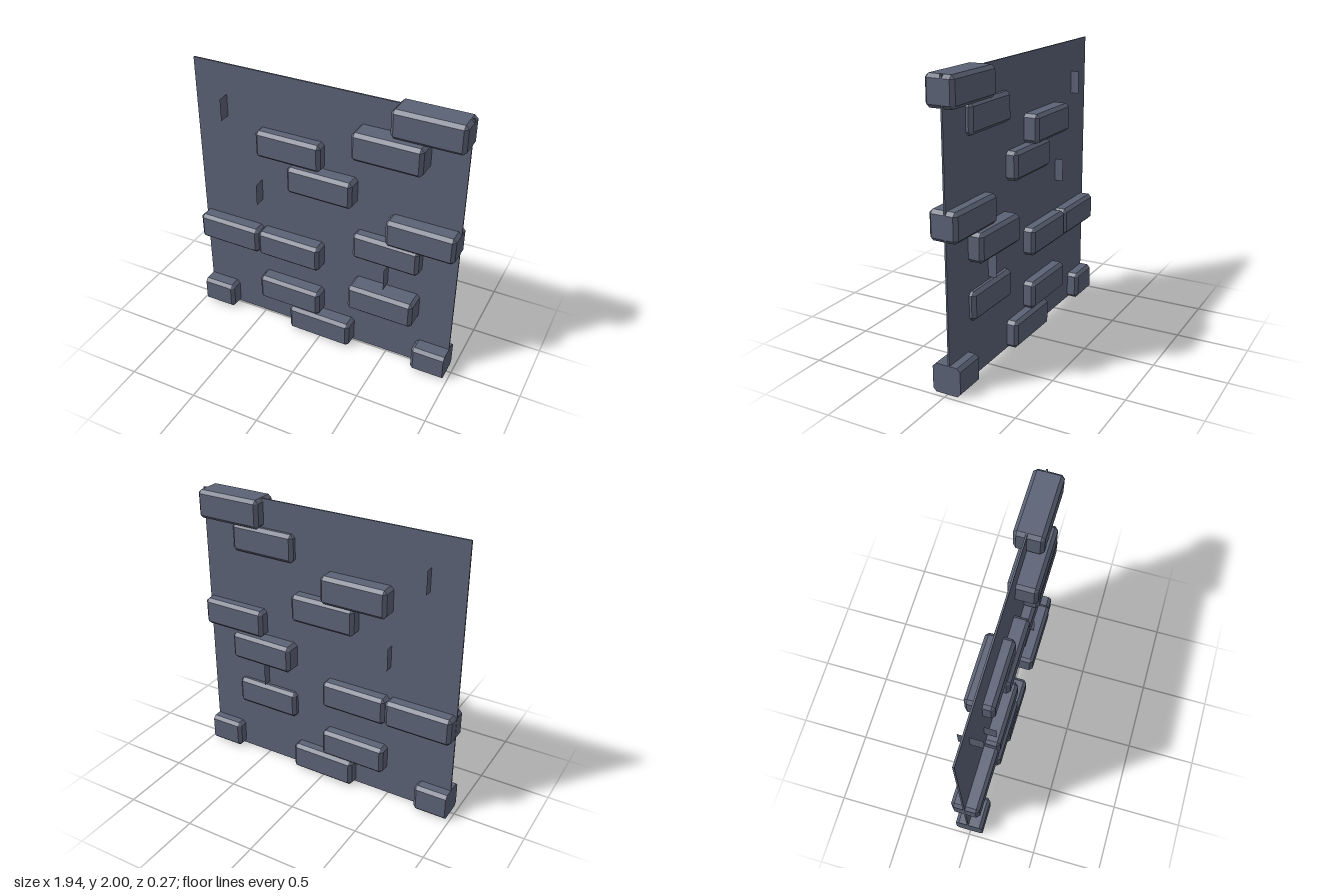
import * as THREE from 'three';
import { ConvexGeometry } from 'three/addons/geometries/ConvexGeometry.js';

const ROW = 0.2, DEPTH = 0.2, CHAMFER = 0.023;

// Box with chamfered edges; an end listed as cut (-1 left, 1 right) stays square
function brickGeometry(width, cutEnd) {
  const w = width / 2, h = 0.099, d = DEPTH / 2, c = CHAMFER;
  const points = [];
  for (const sx of [-1, 1]) for (const sy of [-1, 1]) for (const sz of [-1, 1]) {
    const add = (x, y, z) => points.push(new THREE.Vector3(sx * x, sy * y, sz * z));
    const cx = sx === cutEnd ? 0 : c;
    add(w - cx, h - c, d);
    add(w - cx, h, d - c);
    if (cx) add(w, h - c, d - c);
  }
  return new ConvexGeometry(points);
}

export function createModel() {
  const group = new THREE.Group();
  const material = new THREE.MeshStandardMaterial({ color: 0x5b6275, flatShading: true });
  const finMaterial = material.clone();
  finMaterial.side = THREE.DoubleSide;

  // Thin mortar sheet
  const wall = new THREE.Mesh(new THREE.BoxGeometry(1.935, 2, 0.012), material);
  wall.name = 'mortarSheet';
  wall.position.set(-0.002, 1, -0.015);
  group.add(wall);

  // Bricks: row, left x, right x, centre z, yaw, cut end
  const bricks = [
    [0, -0.97, -0.73, -0.005, 0, -1],
    [0, -0.242, 0.24, 0, -0.01, 0],
    [0, 0.722, 0.966, 0.003, 0, 1],
    [1, -0.486, -0.002, -0.005, -0.01, 0],
    [2, 0.24, 0.722, 0.036, -0.01, 0],
    [3, -0.968, -0.488, -0.01, -0.01, 0],
    [3, -0.486, -0.002, -0.005, -0.01, 0],
    [4, 0.24, 0.722, -0.027, -0.02, 0],
    [5, 0.483, 0.966, 0.002, -0.01, 0],
    [6, -0.242, 0.24, -0.003, -0.01, 0],
    [7, -0.486, -0.002, -0.03, -0.01, 0],
    [8, 0.24, 0.722, 0.036, -0.01, 0],
    [9, 0.483, 0.966, 0.002, -0.01, 0],
  ];
  for (const [row, x0, x1, z, yaw, cut] of bricks) {
    const brick = new THREE.Mesh(brickGeometry(x1 - x0, cut), material);
    brick.name = cut ? 'halfBrick' : 'brick';
    brick.position.set((x0 + x1) / 2, (row + 0.5) * ROW + 0.001, z);
    brick.rotation.y = yaw;
    group.add(brick);
  }

  // Upright mortar fins standing across the sheet: row, x
  for (const [row, x] of [[3, 0.483], [5, -0.486], [8, -0.73]]) {
    const fin = new THREE.Mesh(new THREE.PlaneGeometry(0.16, 0.16), finMaterial);
    fin.name = 'mortarFin';
    fin.position.set(x, (row + 0.5) * ROW, -0.002);
    fin.rotation.y = Math.PI / 2;
    group.add(fin);
  }
  return group;
}
